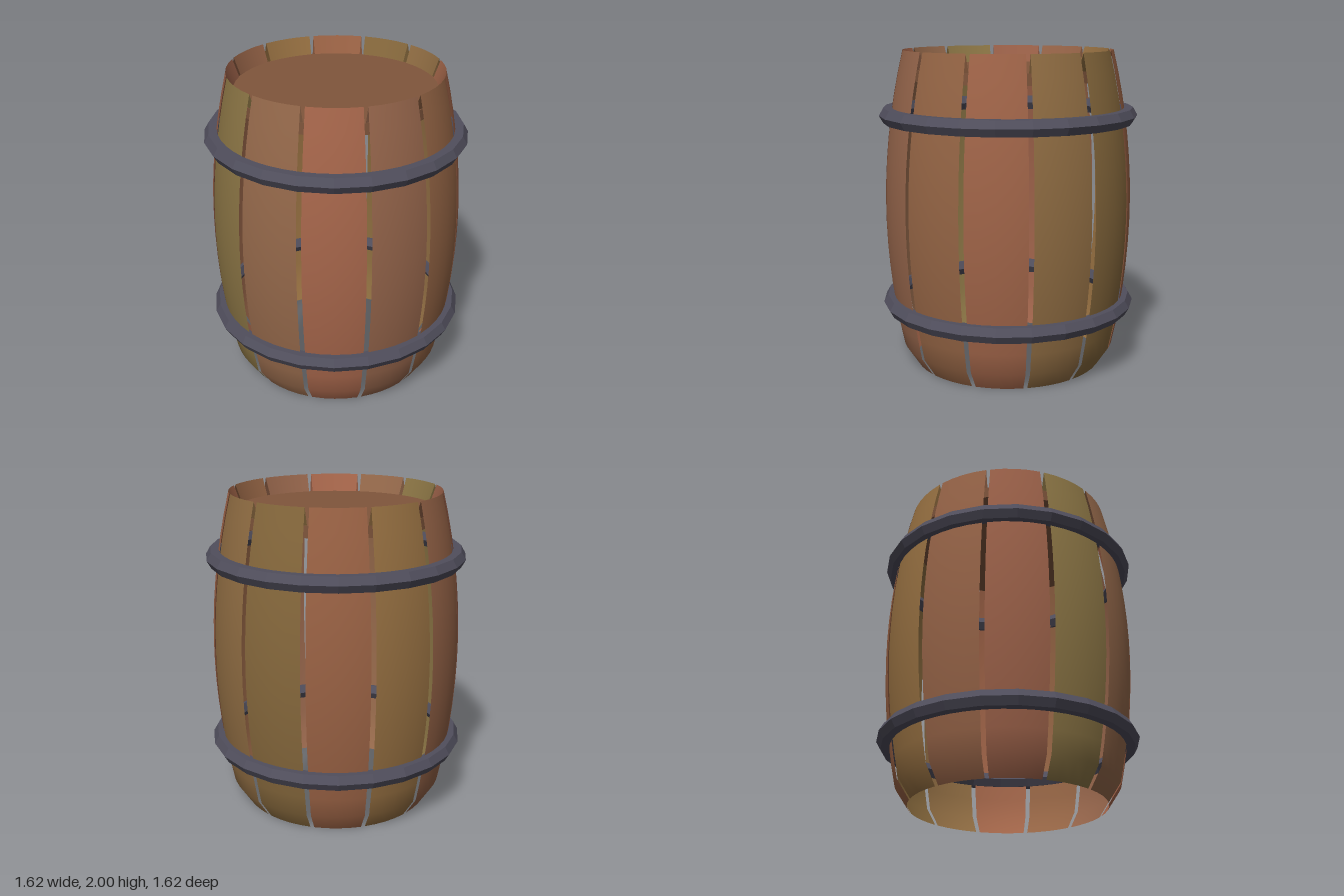
import * as THREE from 'three';

const STAVES = 12;
const GAP = 0.04; // radians between neighbouring staves
const COLORS = [
  0xa5654a, 0x94644a, 0x946444, 0xa06448, 0x8f6c42, 0x86683c,
  0x9a6244, 0x946e40, 0x946246, 0x9a6048, 0x8a7444, 0x94684a,
];

const material = (color) => new THREE.MeshStandardMaterial({ color, side: THREE.DoubleSide });

// bulging side of a stave, pinched in at the foot
function staveProfile() {
  const points = [new THREE.Vector2(0.605, 0)];
  const steps = 14;
  for (let i = 0; i <= steps; i++) {
    const y = 0.12 + (1.88 * i) / steps;
    points.push(new THREE.Vector2(0.78 - 0.125 * (y - 1) ** 2, y));
  }
  return points;
}

export function createModel() {
  const barrel = new THREE.Group();
  barrel.name = 'barrel';

  const side = staveProfile();
  const rim = [new THREE.Vector2(0.655, 2), new THREE.Vector2(0.615, 1.89)];
  const step = (Math.PI * 2) / STAVES;

  // staves: thin curved planks whose top edge folds in to the lid
  for (let i = 0; i < STAVES; i++) {
    const stave = new THREE.Group();
    stave.name = `stave${i + 1}`;
    const wood = material(COLORS[i]);
    for (const [name, profile] of [['staveSide', side], ['staveRim', rim]]) {
      const geometry = new THREE.LatheGeometry(profile, 4, i * step + GAP / 2, step - GAP);
      const mesh = new THREE.Mesh(geometry, wood);
      mesh.name = name;
      stave.add(mesh);
    }
    barrel.add(stave);
  }

  // lid set below the rim; the bottom stays open
  const lid = new THREE.Mesh(new THREE.CylinderGeometry(0.62, 0.62, 0.07, 48), material(0x80563c));
  lid.name = 'lid';
  lid.position.y = 1.855;
  barrel.add(lid);

  // six-sided metal hoops
  const metal = material(0x504e5c);
  metal.flatShading = true;
  const hoopGeometry = new THREE.TorusGeometry(0.755, 0.055, 6, 24).rotateX(Math.PI / 2);
  for (const [name, y] of [['lowerHoop', 0.4], ['upperHoop', 1.6]]) {
    const hoop = new THREE.Mesh(hoopGeometry, metal);
    hoop.name = name;
    hoop.position.y = y;
    barrel.add(hoop);
  }

  return barrel;
}
